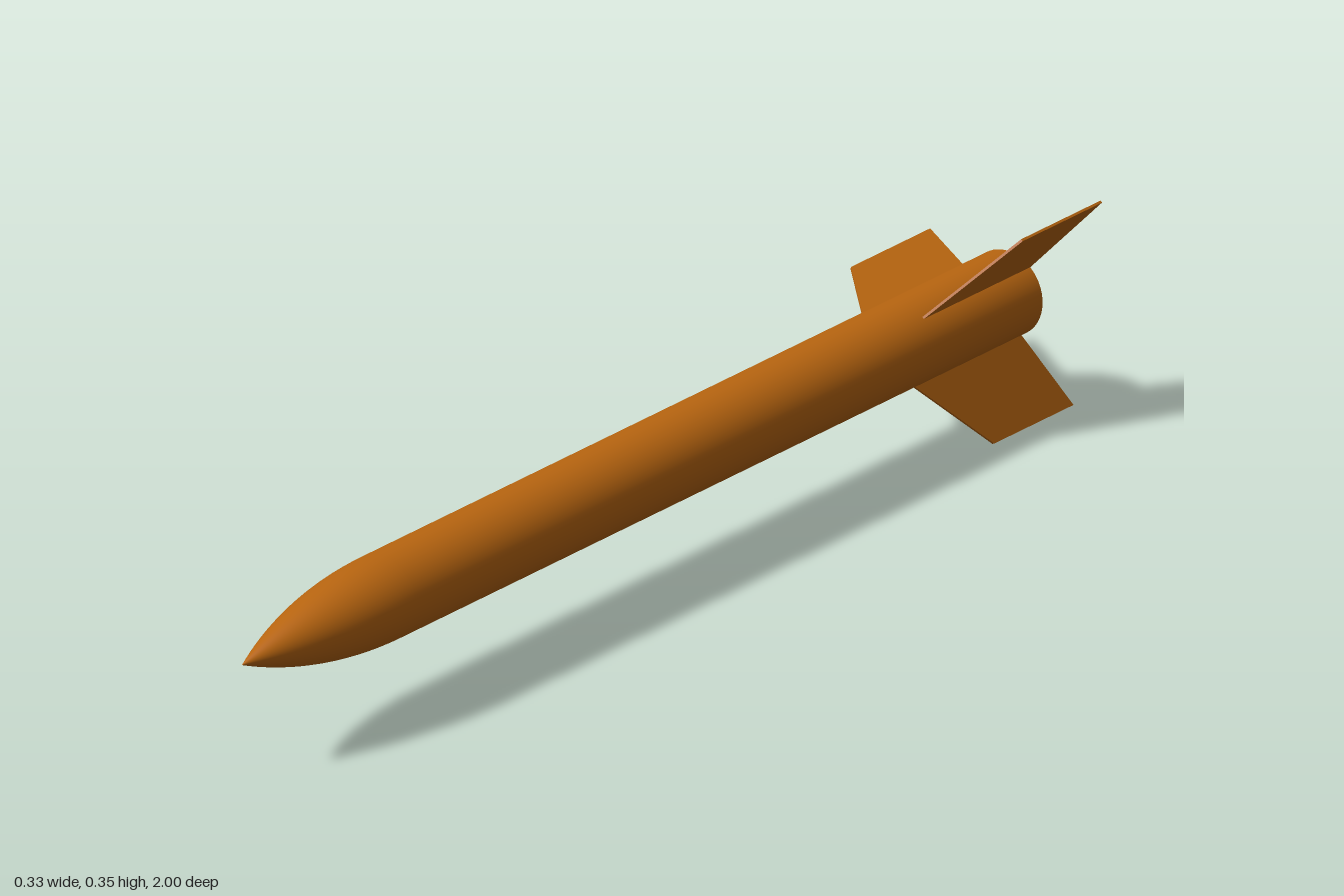
import * as THREE from 'three';

const R = 0.069, INNER = 0.066;       // outer and inner tube radius
const TAIL = -0.93, SHOULDER = 0.65, TIP = 1.0;
const FIN_THICKNESS = 0.004;

// Revolve [radius, z] pairs around the z axis (increasing z faces outward)
function revolve(name, profile, material) {
  const geometry = new THREE.LatheGeometry(profile.map(([r, z]) => new THREE.Vector2(r, z)), 64);
  geometry.rotateX(Math.PI / 2);
  const mesh = new THREE.Mesh(geometry, material);
  mesh.name = name;
  return mesh;
}

export function createModel() {
  const paint = new THREE.MeshStandardMaterial({ color: 0xb86510 });
  paint.name = 'burnt orange';

  const model = new THREE.Group();
  model.name = 'rocket';
  const rocket = new THREE.Group();
  rocket.name = 'airframe';
  rocket.position.set(0.036, 0.193, 0);
  model.add(rocket);

  // Hollow body tube, open at the tail
  rocket.add(revolve('bodyTube', [[R, TAIL], [R, SHOULDER]], paint));
  rocket.add(revolve('tubeInside', [[INNER, SHOULDER], [INNER, TAIL]], paint));
  rocket.add(revolve('tailRim', [[INNER, TAIL], [R, TAIL]], paint));

  // Tangent ogive nose cone
  const length = TIP - SHOULDER;
  const rho = (R * R + length * length) / (2 * R);
  const ogive = [];
  for (let i = 0; i <= 24; i++) {
    const d = (length * i) / 24;
    ogive.push([Math.max(0, Math.sqrt(rho * rho - d * d) + R - rho), SHOULDER + d]);
  }
  rocket.add(revolve('noseCone', ogive, paint));
  rocket.add(revolve('noseBase', [[0, SHOULDER], [R, SHOULDER]], paint));

  // Three swept fins, drawn as radius against z
  const outline = new THREE.Shape([
    [R - 0.002, -0.66], [0.2045, -0.8], [0.2045, -1], [R - 0.002, TAIL],
  ].map(([r, z]) => new THREE.Vector2(r, z)));
  const finGeometry = new THREE.ExtrudeGeometry(outline, { depth: FIN_THICKNESS, bevelEnabled: false });
  finGeometry.translate(0, 0, -FIN_THICKNESS / 2);
  finGeometry.rotateX(Math.PI / 2);
  ['leftFin', 'rightFin', 'lowerFin'].forEach((name, i) => {
    const fin = new THREE.Mesh(finGeometry, paint);
    fin.name = name;
    fin.rotation.z = THREE.MathUtils.degToRad(51 + 120 * i);
    rocket.add(fin);
  });

  return model;
}
